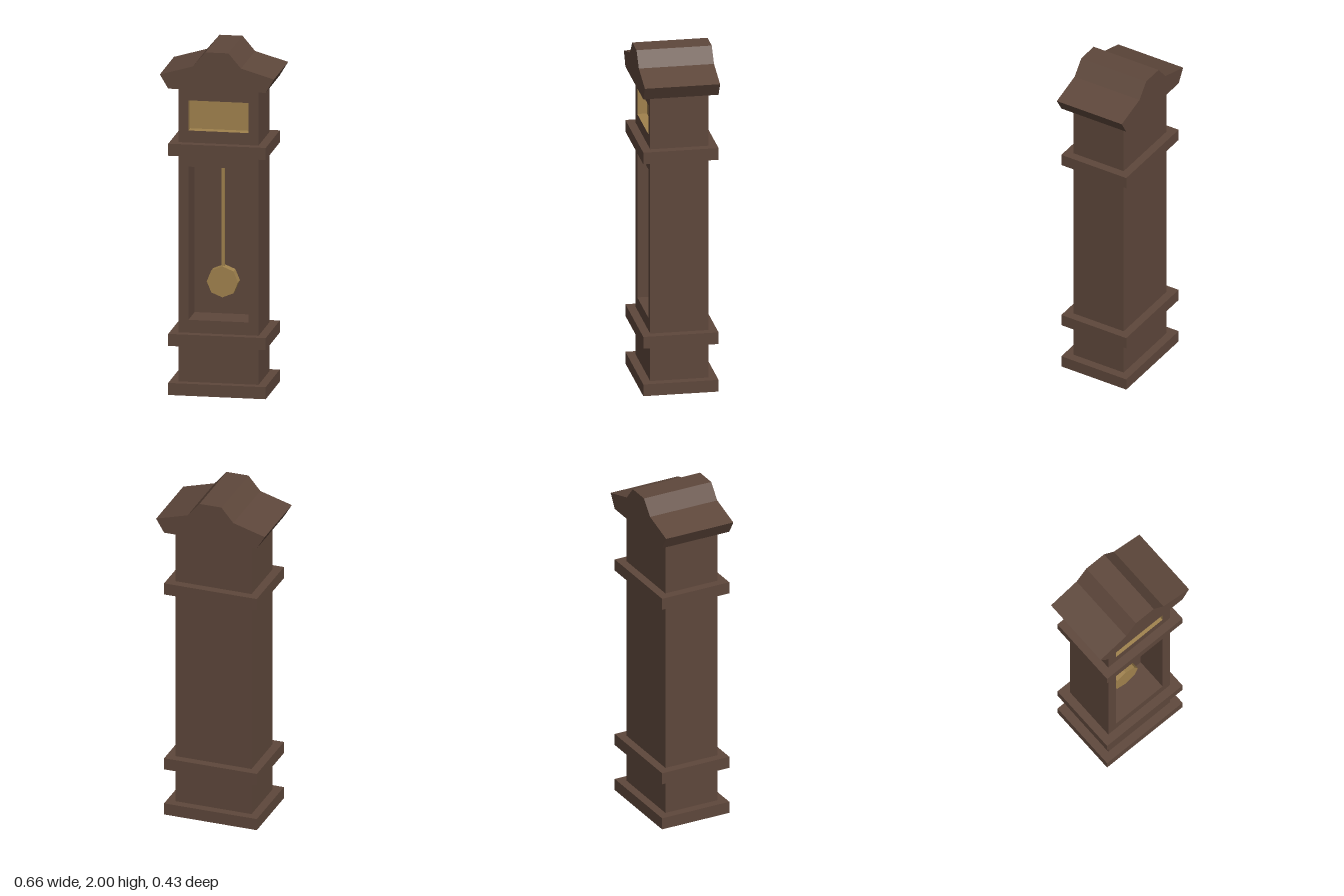
import * as THREE from 'three';

const wood = new THREE.MeshStandardMaterial({ name: 'darkWood', color: 0x5e473b, side: THREE.DoubleSide });
const brass = new THREE.MeshStandardMaterial({ name: 'brass', color: 0xa0824d, side: THREE.DoubleSide });

const BODY_W = 0.46, BODY_D = 0.335, TRIM_W = 0.56, TRIM_D = 0.432;
const FRONT = BODY_D / 2, ROOF_Y = 1.78, TRIM_H = 0.07;
// Box face numbers
const TOP = 2, BOTTOM = 3, FACE_FRONT = 4;

function addMesh(parent, name, geometry, material, x = 0, y = 0, z = 0) {
  const mesh = new THREE.Mesh(geometry, material);
  mesh.name = name;
  mesh.position.set(x, y, z);
  parent.add(mesh);
  return mesh;
}

// Thin-walled box with some faces left out
function openBox(w, h, d, skip) {
  const geometry = new THREE.BoxGeometry(w, h, d);
  const index = Array.from(geometry.index.array);
  geometry.setIndex(index.filter((_, i) => !skip.includes(Math.floor(i / 6))));
  geometry.clearGroups();
  return geometry;
}

function tracePath(path, x0, y0, x1, y1) {
  path.moveTo(x0, y0);
  path.lineTo(x1, y0);
  path.lineTo(x1, y1);
  path.lineTo(x0, y1);
  path.closePath();
  return path;
}

// Rectangular collar around the case, with the case's outline cut out
function collarGeometry() {
  const shape = tracePath(new THREE.Shape(), -TRIM_W / 2, -TRIM_D / 2, TRIM_W / 2, TRIM_D / 2);
  shape.holes.push(tracePath(new THREE.Path(), -BODY_W / 2, -BODY_D / 2, BODY_W / 2, BODY_D / 2));
  return new THREE.ExtrudeGeometry(shape, { depth: TRIM_H, bevelEnabled: false }).rotateX(-Math.PI / 2);
}

export function createModel() {
  const clock = new THREE.Group();
  clock.name = 'longcaseClock';

  // Hollow case, open underneath
  const caseH = ROOF_Y - TRIM_H;
  addMesh(clock, 'caseWalls', openBox(BODY_W, caseH, BODY_D, [TOP, BOTTOM, FACE_FRONT]), wood, 0, TRIM_H + caseH / 2);

  // Recesses for the pendulum and the dial
  const recesses = [
    { name: 'pendulumRecess', y0: 0.43, y1: 1.32, depth: 0.19, material: wood },
    { name: 'dialRecess', y0: 1.53, y1: 1.705, depth: 0.055, material: brass },
  ];
  const recessW = 0.346;

  // Front panel with an opening for each recess
  const front = tracePath(new THREE.Shape(), -BODY_W / 2, TRIM_H, BODY_W / 2, ROOF_Y);
  for (const { name, y0, y1, depth, material } of recesses) {
    front.holes.push(tracePath(new THREE.Path(), -recessW / 2, y0, recessW / 2, y1));
    addMesh(clock, name, openBox(recessW, y1 - y0, depth, [FACE_FRONT]), material,
      0, (y0 + y1) / 2, FRONT - depth / 2);
  }
  addMesh(clock, 'frontPanel', new THREE.ShapeGeometry(front), wood, 0, 0, FRONT);

  // Base plinth and the two moulded collars
  const collar = collarGeometry();
  [['plinth', 0], ['lowerCollar', 0.285], ['upperCollar', 1.39]]
    .forEach(([name, y]) => addMesh(clock, name, collar, wood, 0, y));

  // Stepped roof, one half profile mirrored
  const half = [[0.28, 1.78], [0.328, 1.86], [0.138, 1.915], [0.066, 2.0]];
  const mirrored = half.map(([x, y]) => [-x, y]).reverse();
  const roofShape = new THREE.Shape([...half, ...mirrored].map(([x, y]) => new THREE.Vector2(x, y)));
  addMesh(clock, 'roof', new THREE.ExtrudeGeometry(roofShape, { depth: TRIM_D, bevelEnabled: false }),
    wood, 0, 0, -TRIM_D / 2);

  // Pendulum
  const pendulum = new THREE.Group();
  pendulum.name = 'pendulum';
  pendulum.position.z = 0.02;
  addMesh(pendulum, 'pendulumRod', new THREE.BoxGeometry(0.016, 0.69, 0.016), brass, 0, 0.975, 0);
  const bob = new THREE.CylinderGeometry(0.09, 0.09, 0.06, 8).toNonIndexed();
  bob.computeVertexNormals();
  addMesh(pendulum, 'pendulumBob', bob.rotateX(Math.PI / 2), brass, 0, 0.63, 0);
  clock.add(pendulum);

  return clock;
}
